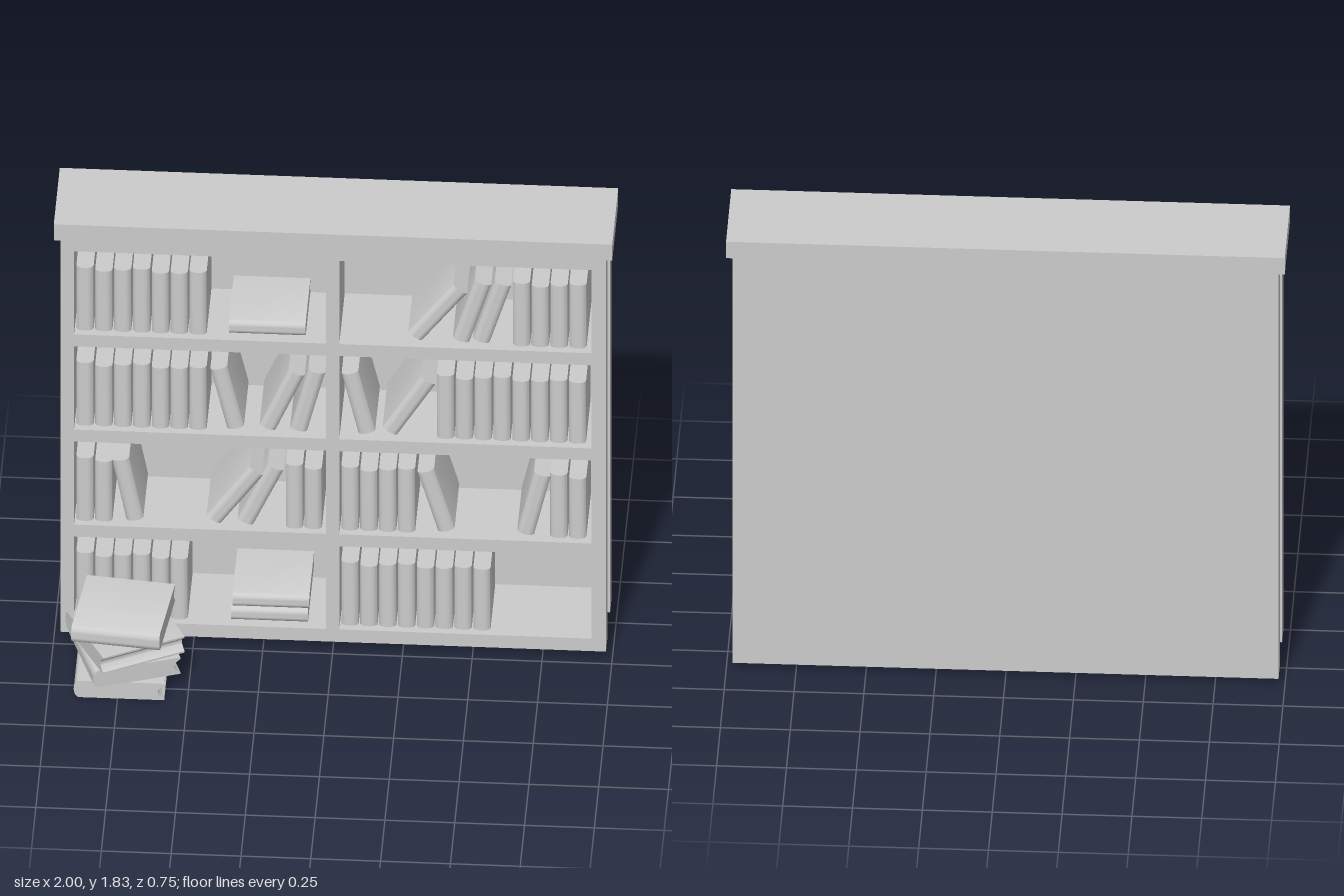
import * as THREE from 'three';
import { toCreasedNormals } from 'three/addons/utils/BufferGeometryUtils.js';

const mat = new THREE.MeshStandardMaterial({ color: 0xcccccc });
const rad = THREE.MathUtils.degToRad;

function add(parent, name, geometry, x = 0, y = 0, z = 0) {
  const mesh = new THREE.Mesh(geometry, mat);
  mesh.name = name;
  mesh.position.set(x, y, z);
  parent.add(mesh);
  return mesh;
}

// Box given by its lower and upper limits on each axis
function slab(parent, name, [x0, x1], [y0, y1], [z0, z1]) {
  return add(parent, name, new THREE.BoxGeometry(x1 - x0, y1 - y0, z1 - z0),
    (x0 + x1) / 2, (y0 + y1) / 2, (z0 + z1) / 2);
}

// Book standing on y, rounded spine towards +z, hollow fore-edge towards -z
function bookGeometry(length, thick = 0.062, depth = 0.282) {
  const t = thick / 2, d = depth / 2, bulge = depth * 0.06, lip = thick * 0.1;
  const s = new THREE.Shape();
  s.moveTo(-t, -d + bulge);
  s.bezierCurveTo(-t * 0.85, -d - bulge * 0.3, t * 0.85, -d - bulge * 0.3, t, -d + bulge);
  s.lineTo(t, d);
  s.lineTo(t - lip, d);
  s.quadraticCurveTo(0, d - bulge * 2.4, -t + lip, d);
  s.lineTo(-t, d);
  s.closePath();
  const g = new THREE.ExtrudeGeometry(s, { depth: length, bevelEnabled: false, curveSegments: 10 });
  g.translate(0, 0, -length / 2);
  g.rotateX(-Math.PI / 2);
  return toCreasedNormals(g, rad(35));
}

const BOOK_Z = -0.206, PITCH = 0.0675, LENGTH = 0.275;
const heights = [0.277, 0.263, 0.272, 0.278, 0.264, 0.266, 0.273, 0.268];

// count upright books starting at the left edge x
function uprightRow(parent, x, shelf, count) {
  for (let i = 0; i < count; i++) {
    const h = heights[i % heights.length];
    add(parent, 'uprightBook', bookGeometry(h), x + (i + 0.5) * PITCH, shelf + h / 2, BOOK_Z);
  }
}

function leaningBook(parent, x, shelf, degrees) {
  const a = rad(degrees);
  const y = shelf + (LENGTH * Math.cos(a) + 0.062 * Math.abs(Math.sin(a))) / 2;
  add(parent, 'leaningBook', bookGeometry(LENGTH - 0.008), x, y, BOOK_Z).rotation.z = -a;
}

function lyingBook(parent, x, y) {
  add(parent, 'lyingBook', bookGeometry(LENGTH, 0.058), x, y, BOOK_Z).rotation.z = Math.PI / 2;
}

export function createModel() {
  const model = new THREE.Group();
  model.name = 'bookcaseWithBooks';

  // Carcass: one block pierced by eight compartments
  const bookcase = new THREE.Group();
  bookcase.name = 'bookcase';
  model.add(bookcase);
  const rect = (path, x0, x1, y0, y1) => path.setFromPoints([
    [x0, y0], [x1, y0], [x1, y1], [x0, y1]].map(p => new THREE.Vector2(...p)));
  const shelves = [0.08, 0.5, 0.92, 1.34];
  const front = rect(new THREE.Shape(), -0.95, 0.95, 0.025, 1.76);
  for (const y of shelves) {
    for (const [x0, x1] of [[-0.928, -0.026], [0.022, 0.925]]) {
      front.holes.push(rect(new THREE.Path(), x0, x1, y, y + 0.367));
    }
  }
  add(bookcase, 'shelfFrame', new THREE.ExtrudeGeometry(front, { depth: 0.31, bevelEnabled: false }), 0, 0, -0.35);
  slab(bookcase, 'backPanel', [-0.95, 0.95], [0.025, 1.76], [-0.36, -0.35]);

  // Raised stiles leave a recessed panel on each side
  for (const side of [-1, 1]) {
    const span = [0.95 * side, 0.977 * side].sort((a, b) => a - b);
    slab(bookcase, 'frontStile', span, [0.025, 1.76], [-0.12, -0.04]);
    slab(bookcase, 'backStile', span, [0.025, 1.76], [-0.36, -0.28]);
  }
  slab(bookcase, 'topBoard', [-1, 1], [1.76, 1.83], [-0.375, -0.03]);

  // Shelved books, bottom to top: [left edge, count], [centre, lean], [centre, height]
  const rows = [
    { upright: [[-0.925, 6], [0.024, 8]], leaning: [], lying: [[-0.23, 0.03], [-0.225, 0.09]].reverse() },
    { upright: [[-0.925, 2], [-0.175, 2], [0.024, 4], [0.772, 2]],
      leaning: [[-0.738, -11], [-0.353, 35], [-0.262, 24], [0.366, -16], [0.717, 13]], lying: [] },
    { upright: [[-0.925, 7], [0.366, 8]],
      leaning: [[-0.382, -13], [-0.185, 23], [-0.094, 14], [0.088, -13], [0.27, 31]], lying: [] },
    { upright: [[-0.925, 7], [0.638, 4]], leaning: [[0.372, 37], [0.495, 17], [0.567, 17]], lying: [[-0.238, 0.034]] },
  ];
  rows.forEach((row, i) => {
    const books = new THREE.Group();
    books.name = 'shelfBooks';
    model.add(books);
    row.upright.forEach(([x, n]) => uprightRow(books, x, shelves[i], n));
    row.leaning.forEach(([x, a]) => leaningBook(books, x, shelves[i], a));
    row.lying.forEach(([x, y]) => lyingBook(books, x, shelves[i] + y));
  });

  // Pile of larger books on the floor: centre x, z and direction of the spine
  const pile = new THREE.Group();
  pile.name = 'floorPile';
  model.add(pile);
  [[-0.745, 0.16, -90], [-0.735, 0.16, -70.6], [-0.733, 0.16, -152], [-0.74, 0.158, -6.5]].forEach(([x, z, turn], i) => {
    const book = add(pile, 'pileBook', bookGeometry(0.32, 0.072, 0.325), x, 0.037 + i * 0.0735, z);
    book.rotation.set(0, rad(turn), Math.PI / 2);
  });

  return model;
}
